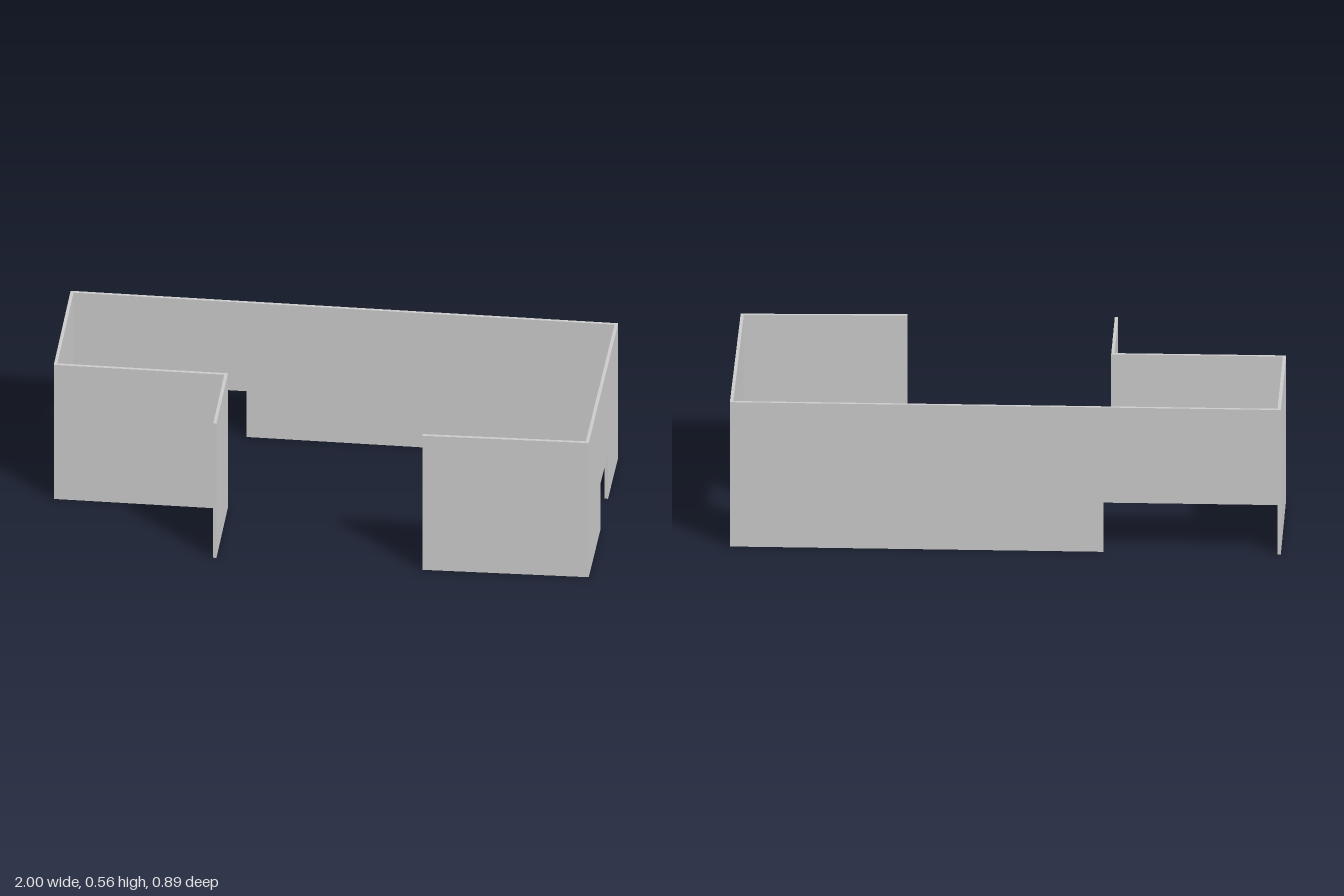
import * as THREE from 'three';

const HEIGHT = 0.563, THICK = 0.012, OPENING = 0.192;
const material = new THREE.MeshStandardMaterial({ color: 0xcccccc, flatShading: true });

// Upright wall whose outer face runs from a to b ([x, z]) and thickens to the
// right of travel; opening = [from, to], a gap along its foot.
function wall(name, a, b, opening) {
  const dx = b[0] - a[0], dz = b[1] - a[1], length = Math.hypot(dx, dz);
  const shape = new THREE.Shape();
  shape.moveTo(0, 0);
  if (opening) {
    const [from, to] = opening;
    shape.lineTo(from, 0).lineTo(from, OPENING).lineTo(to, OPENING).lineTo(to, 0);
  }
  shape.lineTo(length, 0).lineTo(length, HEIGHT).lineTo(0, HEIGHT).closePath();
  const mesh = new THREE.Mesh(
    new THREE.ExtrudeGeometry(shape, { depth: THICK, bevelEnabled: false }), material);
  mesh.name = name;
  mesh.position.set(a[0], 0, a[1]);
  mesh.rotation.y = Math.atan2(-dz, dx);
  return mesh;
}

export function createModel() {
  const group = new THREE.Group();
  group.name = 'roomWalls';
  group.add(
    // long back wall with a wide low gap towards the right corner
    wall('backWall', [-1, -0.445], [0.998, -0.44], [THICK, 0.643]),
    // left side wall with a small doorway
    wall('leftWall', [0.998, -0.44], [0.99, 0.427], [0.3, 0.525]),
    // slightly skewed front wall
    wall('frontLeftWall', [0.99, 0.427], [0.385, 0.443]),
    // entrance return and the recessed right corner
    wall('entranceWall', [-0.378, 0.443], [-0.378, 0.078]),
    wall('frontRightWall', [-0.378, 0.09], [-1, 0.09]),
    wall('rightWall', [-1, 0.09], [-1, -0.445]),
  );
  return group;
}
